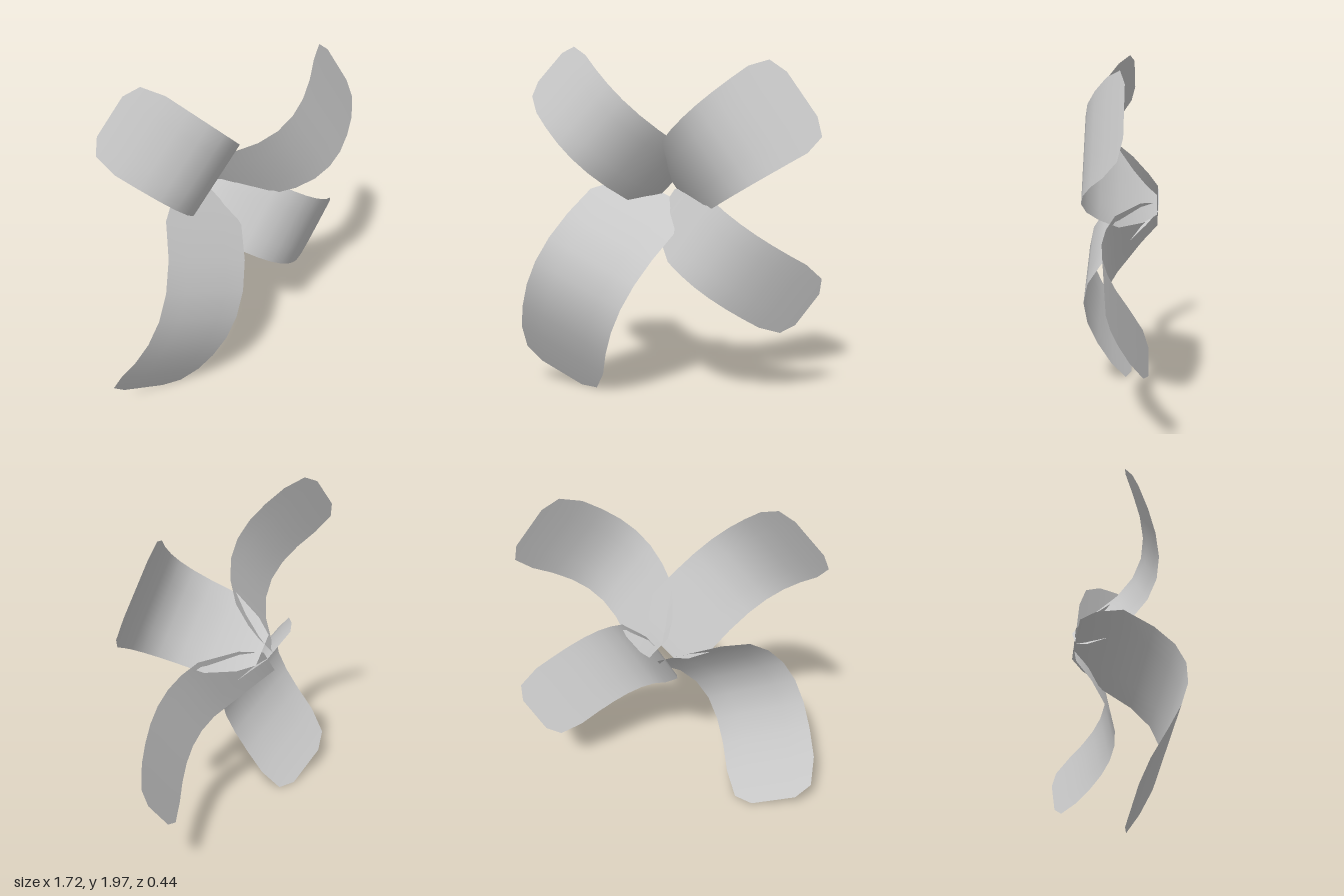
import * as THREE from 'three';

// Each petal runs from root to tip in the front plane; z follows a bow between its end depths.
// corner is the fraction of the length where the root reaches full width.
const petals = [
  {
    name: 'upperLeftPetal', root: [-0.01, 1.2, -0.215], tip: [0.728, 1.723, -0.065],
    halfWidth: [0.22, 0.286], bow: 0.3, corner: 0.15,
  },
  {
    name: 'upperRightPetal', root: [-0.031, 1.222, -0.22], tip: [-0.717, 1.879, -0.07],
    halfWidth: [0.222, 0.22], bow: 0.28, corner: 0.1,
  },
  {
    name: 'lowerLeftPetal', root: [-0.064, 1.115, -0.22], tip: [0.765, 0.538, -0.185],
    halfWidth: [0.215, 0.226], bow: 0.265, corner: 0.24,
  },
  {
    name: 'lowerRightPetal', root: [-0.138, 1.185, -0.225], tip: [-0.671, 0.079, -0.06],
    halfWidth: [0.275, 0.284], bow: 0.36, corner: 0.11, sweep: 0.06,
  },
];

const COLUMNS = 4;

// Bends a plane into a bowed strip with clipped corners at both ends
function petalGeometry({ root, tip, halfWidth, bow, corner, sweep = 0 }) {
  // Rows as [fraction of length, fraction of full width]
  const rows = [[0, 0.4], [corner * 0.3, 0.7], [corner, 1]];
  for (let i = 1; i <= 6; i++) rows.push([THREE.MathUtils.lerp(corner, 0.85, i / 6), 1]);
  rows.push([0.96, 0.87], [1, 0.5]);

  const start = new THREE.Vector3(...root);
  const end = new THREE.Vector3(...tip);
  const across = new THREE.Vector3(end.y - start.y, start.x - end.x, 0).normalize();
  const geo = new THREE.PlaneGeometry(1, 1, COLUMNS, rows.length - 1);
  const point = new THREE.Vector3();
  rows.forEach(([t, taper], r) => {
    const half = THREE.MathUtils.lerp(...halfWidth, t) * taper;
    for (let c = 0; c <= COLUMNS; c++) {
      const side = half * ((2 * c) / COLUMNS - 1) + sweep * Math.sin(Math.PI * t);
      point.lerpVectors(start, end, t).addScaledVector(across, side);
      point.z += bow * Math.sin(Math.PI * t ** 0.85);
      geo.attributes.position.setXYZ(r * (COLUMNS + 1) + c, point.x, point.y, point.z);
    }
  });
  // Reverse the corner order so the convex side is the front
  geo.index.array.reverse();
  geo.computeVertexNormals();
  return geo;
}

export function createModel() {
  const group = new THREE.Group();
  group.name = 'fourPetalRotor';
  const material = new THREE.MeshStandardMaterial({ color: 0xcccccc, side: THREE.DoubleSide });
  for (const petal of petals) {
    const mesh = new THREE.Mesh(petalGeometry(petal), material);
    mesh.name = petal.name;
    group.add(mesh);
  }
  return group;
}
